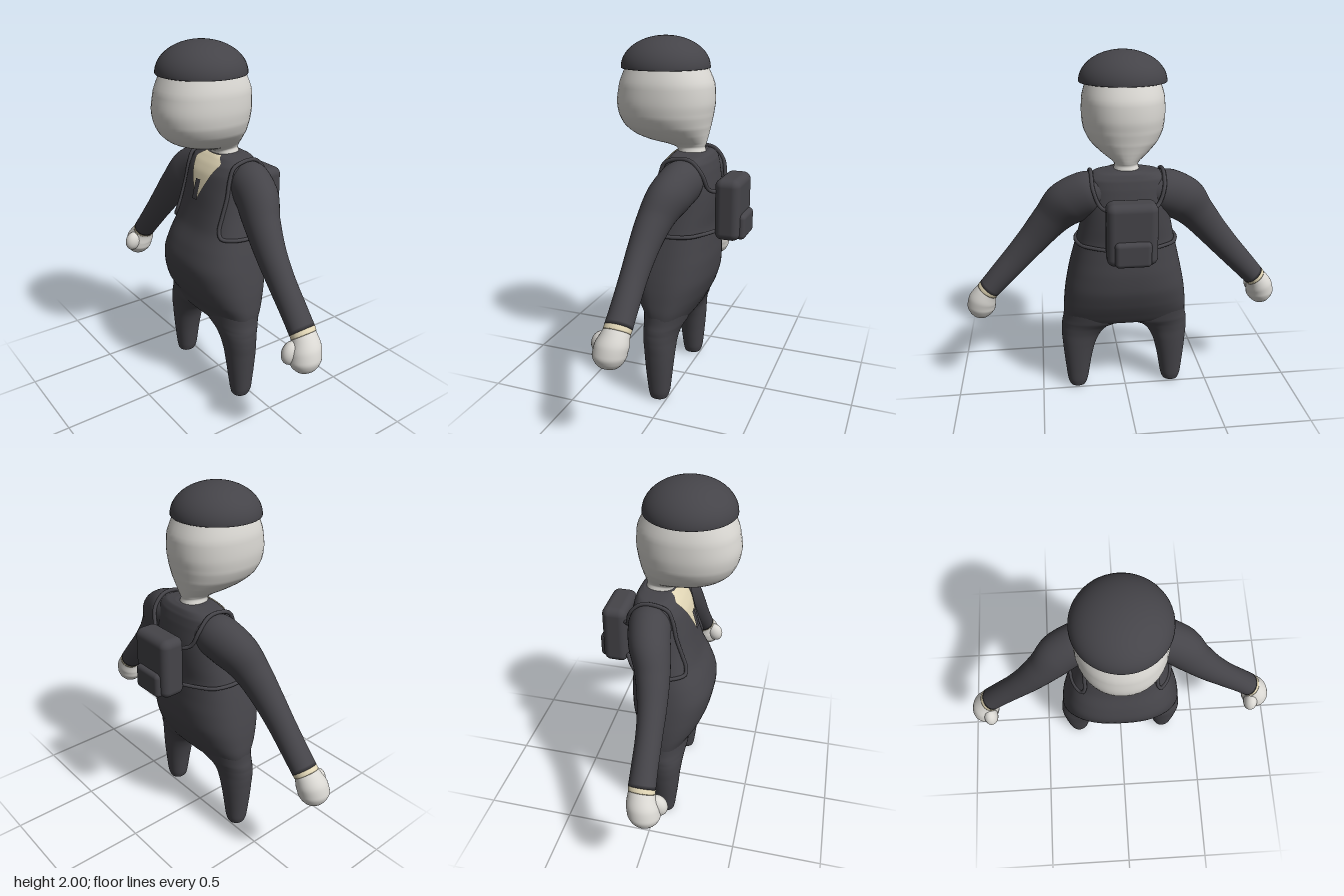
import * as THREE from 'three';
import { RoundedBoxGeometry } from 'three/addons/geometries/RoundedBoxGeometry.js';

const mat = (name, color) => {
  const m = new THREE.MeshStandardMaterial({ color });
  m.name = name;
  return m;
};

// Smooth curves for centres and radii from sections [x, y, z, radiusU, radiusZ]
const curves = (sections) => ({
  centre: new THREE.CatmullRomCurve3(sections.map((s) => new THREE.Vector3(s[0], s[1], s[2]))),
  radii: new THREE.CatmullRomCurve3(sections.map((s) => new THREE.Vector3(s[3], s[4], 0))),
});

const power = (v, n) => Math.sign(v) * Math.abs(v) ** (2 / n);

// Closed body swept through the sections; n > 2 squares the rings, tilt turns them along the path
function sweep(sections, { n = 2, tilt = false, steps = 6, sides = 40 } = {}) {
  const { centre, radii } = curves(sections);
  const count = (sections.length - 1) * steps;
  const pos = [], index = [];
  for (let k = -1; k <= count + 1; k++) {
    const t = Math.min(Math.max(k / count, 0), 1);
    const c = centre.getPoint(t), r = radii.getPoint(t), d = centre.getTangent(t);
    const scale = k < 0 || k > count ? 0 : 1;
    const len = Math.hypot(d.x, d.y);
    const ux = tilt ? d.y / len : 1, uy = tilt ? -d.x / len : 0;
    for (let j = 0; j < sides; j++) {
      const a = (j / sides) * Math.PI * 2;
      const u = power(Math.cos(a), n) * r.x * scale, v = power(Math.sin(a), n) * r.y * scale;
      pos.push(c.x + ux * u, c.y + uy * u, c.z + v);
    }
  }
  for (let k = 0; k < count + 2; k++) {
    for (let j = 0; j < sides; j++) {
      const a = k * sides + j, b = k * sides + ((j + 1) % sides);
      index.push(a, a + sides, b, b, a + sides, b + sides);
    }
  }
  const g = new THREE.BufferGeometry();
  g.setAttribute('position', new THREE.Float32BufferAttribute(pos, 3));
  g.setIndex(index);
  g.computeVertexNormals();
  return g;
}

// Upright section from [y, halfWidth, zBack, zFront]
const upright = ([y, w, back, front]) => [0, y, (back + front) / 2, w, (front - back) / 2];

const TORSO_N = 2.5;
const torsoSections = [
  [0.445, 0.27, -0.02, 0.11], [0.47, 0.35, -0.08, 0.155], [0.53, 0.36, -0.115, 0.178],
  [0.6, 0.356, -0.15, 0.222], [0.7, 0.342, -0.182, 0.258], [0.8, 0.322, -0.19, 0.27],
  [0.9, 0.298, -0.185, 0.24], [1.0, 0.272, -0.18, 0.192], [1.1, 0.25, -0.19, 0.163],
  [1.2, 0.235, -0.193, 0.14], [1.3, 0.23, -0.18, 0.11], [1.35, 0.22, -0.168, 0.08],
  [1.383, 0.17, -0.15, 0.05], [1.395, 0.09, -0.13, 0.035],
].map(upright);
const torsoCurves = curves(torsoSections);

// Depth of the chest surface at a given x and y
function chestZ(x, y) {
  let lo = 0, hi = 1;
  for (let i = 0; i < 30; i++) {
    const mid = (lo + hi) / 2;
    if (torsoCurves.centre.getPoint(mid).y < y) lo = mid; else hi = mid;
  }
  const c = torsoCurves.centre.getPoint(lo), r = torsoCurves.radii.getPoint(lo);
  const k = Math.min(Math.abs(x) / r.x, 1);
  return c.z + r.y * (1 - k ** TORSO_N) ** (1 / TORSO_N);
}

// Thin patch lying on the chest between two heights
function chestPatch(y0, y1, halfWidth, lift) {
  const g = new THREE.PlaneGeometry(2, 1, 12, 24);
  const p = g.attributes.position;
  for (let i = 0; i < p.count; i++) {
    const y = y0 + (p.getY(i) + 0.5) * (y1 - y0);
    const x = p.getX(i) * halfWidth(y);
    p.setXYZ(i, x, y + lift * 0.4, chestZ(x, y) + lift);
  }
  g.computeVertexNormals();
  return g;
}

export function createModel() {
  const model = new THREE.Group();
  model.name = 'figure';
  const dark = mat('charcoal cloth', 0x454449);
  const skin = mat('pale skin', 0xdad8d3);
  const cream = mat('cream shirt', 0xe0d5b5);
  cream.side = THREE.DoubleSide;

  const add = (name, geometry, material, x = 0, y = 0, z = 0) => {
    const m = new THREE.Mesh(geometry, material);
    m.name = name;
    m.position.set(x, y, z);
    model.add(m);
    return m;
  };

  // Head with neck, chin pushed forward
  add('head', sweep([
    [1.35, 0.085, -0.13, 0.035], [1.41, 0.064, -0.115, 0.04], [1.432, 0.075, -0.12, 0.1],
    [1.455, 0.11, -0.126, 0.21], [1.485, 0.15, -0.133, 0.285], [1.53, 0.193, -0.143, 0.338],
    [1.59, 0.22, -0.154, 0.368], [1.66, 0.229, -0.163, 0.377], [1.75, 0.226, -0.158, 0.362],
    [1.86, 0.195, -0.11, 0.315],
  ].map(upright), { n: 2.15 }), skin);

  // Domed cap with a flat underside
  const dome = [new THREE.Vector2(0, 0), new THREE.Vector2(0.238, 0), new THREE.Vector2(0.24, 0.002)];
  for (let i = 1; i <= 16; i++) {
    const a = (i / 16) * Math.PI / 2;
    dome.push(new THREE.Vector2(Math.max(0, 0.24 * Math.cos(a)), 0.002 + 0.165 * Math.sin(a)));
  }
  add('cap', new THREE.LatheGeometry(dome, 48), dark, 0, 1.833, 0.108);

  // Suit body, shirt front and tie
  add('torso', sweep(torsoSections, { n: TORSO_N, sides: 56 }), dark);
  const vNeck = (y) => (y > 1.36 ? 0.115 - (y - 1.36) * 1.5 : 0.012 + (y - 1.16) * 0.515);
  add('shirtFront', chestPatch(1.16, 1.394, vNeck, 0.006), cream);
  add('tie', chestPatch(1.15, 1.26, () => 0.02, 0.012), dark);

  for (const s of [1, -1]) {
    const side = s > 0 ? 'left' : 'right';
    const mirror = (list) => list.map(([x, ...rest]) => [s * x, ...rest]);

    // Leg: [y, inner x, outer x, zBack, zFront]
    add(side + 'Leg', sweep([
      [0.004, 0.262, 0.315, 0.02, 0.08], [0.012, 0.24, 0.335, 0, 0.1], [0.05, 0.226, 0.348, -0.012, 0.108],
      [0.12, 0.214, 0.356, -0.02, 0.116], [0.2, 0.2, 0.364, -0.028, 0.124], [0.3, 0.174, 0.372, -0.037, 0.132],
      [0.37, 0.138, 0.376, -0.043, 0.14], [0.42, 0.085, 0.374, -0.055, 0.147],
      [0.46, 0.0, 0.37, -0.075, 0.155], [0.55, -0.02, 0.358, -0.1, 0.16],
    ].map(([y, a, b, back, front]) => [s * (a + b) / 2, y, (back + front) / 2, (b - a) / 2, (front - back) / 2]),
    { n: 2.15 }), dark);

    // Arm, shirt cuff and hand
    add(side + 'Arm', sweep(mirror([
      [0.13, 1.275, -0.06, 0.1, 0.1], [0.22, 1.255, -0.05, 0.127, 0.115], [0.32, 1.2, -0.025, 0.128, 0.112],
      [0.41, 1.105, 0.012, 0.104, 0.092], [0.51, 0.985, 0.035, 0.088, 0.077], [0.61, 0.87, 0.044, 0.078, 0.069],
      [0.71, 0.76, 0.047, 0.07, 0.069], [0.782, 0.68, 0.05, 0.064, 0.071],
    ]), { tilt: true }), dark);
    add(side + 'Cuff', sweep(mirror([
      [0.765, 0.699, 0.049, 0.06, 0.067], [0.785, 0.677, 0.05, 0.064, 0.071], [0.797, 0.662, 0.052, 0.063, 0.07],
    ]), { tilt: true, steps: 3 }), cream);
    add(side + 'Hand', sweep(mirror([
      [0.78, 0.683, 0.05, 0.056, 0.062], [0.807, 0.645, 0.056, 0.067, 0.074], [0.828, 0.6, 0.066, 0.08, 0.086],
      [0.838, 0.56, 0.073, 0.081, 0.086], [0.844, 0.525, 0.075, 0.067, 0.072],
      [0.848, 0.5, 0.075, 0.044, 0.048], [0.85, 0.489, 0.075, 0.012, 0.014],
    ]), { tilt: true }), skin);
    const thumb = add(side + 'Thumb', new THREE.SphereGeometry(1, 24, 16), skin, s * 0.8, 0.595, 0.135);
    thumb.scale.set(0.042, 0.062, 0.05);
    thumb.rotation.x = -0.4;

    // Shoulder strap looping under the arm back to the bag
    const front = [[0.195, 1.3], [0.2, 1.2], [0.2, 1.1], [0.205, 1.03], [0.225, 0.992]]
      .map(([x, y]) => [x, y, chestZ(x, y) + 0.008]);
    const path = [
      [0.1, 1.2, -0.225], [0.155, 1.225, -0.19], [0.19, 1.31, -0.165], [0.195, 1.375, -0.11],
      [0.195, 1.387, -0.05], [0.195, 1.36, 0.04], ...front,
      [0.265, 0.982, 0.09], [0.283, 0.98, 0.0], [0.255, 0.98, -0.11], [0.19, 0.98, -0.165], [0.1, 0.98, -0.215],
    ].map(([x, y, z]) => new THREE.Vector3(s * x, y, z));
    add(side + 'Strap', new THREE.TubeGeometry(new THREE.CatmullRomCurve3(path), 90, 0.011, 8), dark);
  }

  // Backpack with a pocket
  add('backpack', new RoundedBoxGeometry(0.27, 0.34, 0.14, 5, 0.042), dark, 0, 1.105, -0.28);
  add('backpackPocket', new RoundedBoxGeometry(0.195, 0.14, 0.06, 5, 0.025), dark, 0, 1.01, -0.345);

  return model;
}
